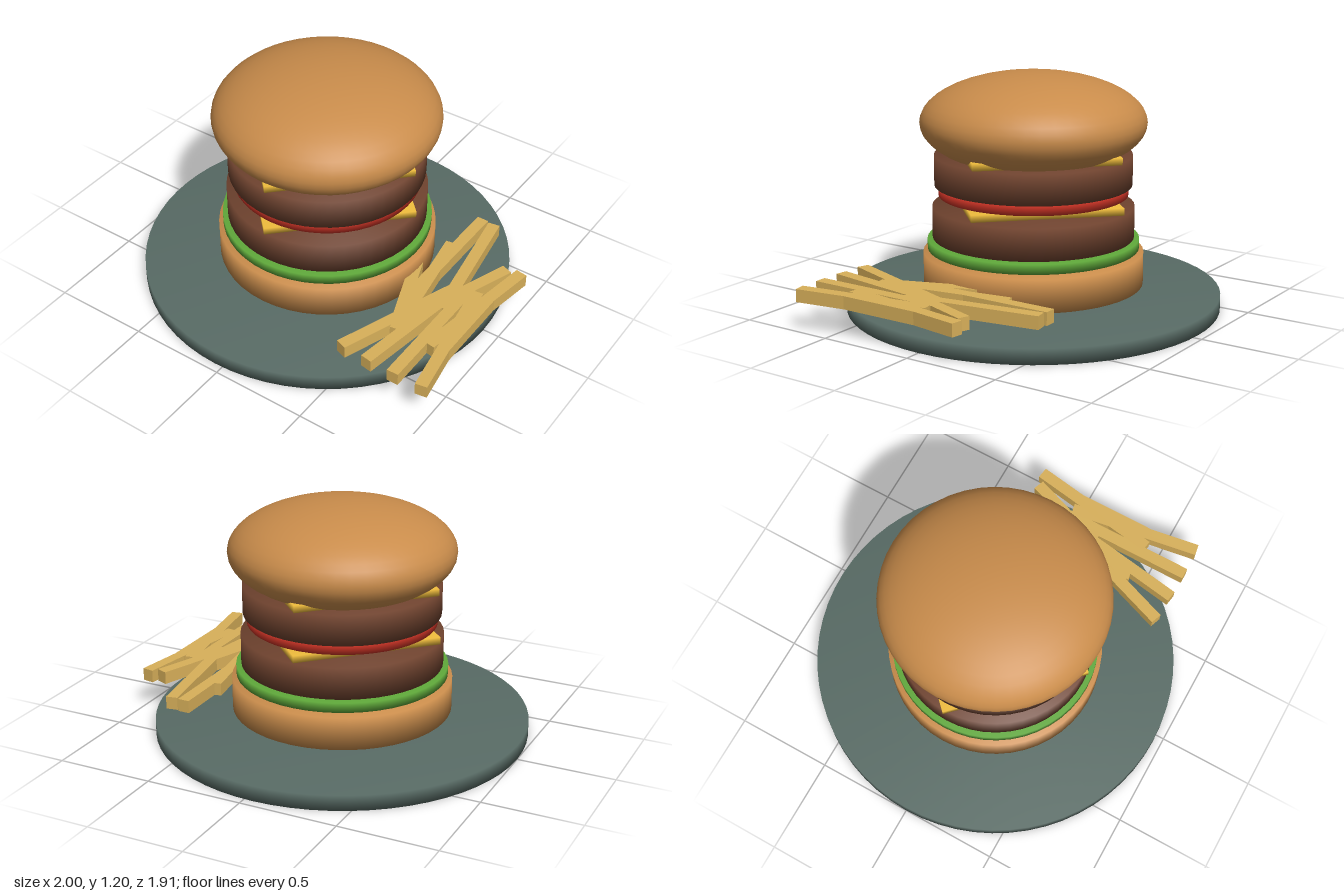
import * as THREE from 'three';
import { mergeVertices } from 'three/addons/utils/BufferGeometryUtils.js';

const CX = -0.043; // plate and burger axis

const material = (color) => new THREE.MeshStandardMaterial({ color });

// Disc with normals blended over its rim
function softDisc(radius, height, sides) {
  const g = new THREE.CylinderGeometry(radius, radius, height, sides);
  g.deleteAttribute('uv');
  g.deleteAttribute('normal');
  const merged = mergeVertices(g, 1e-4);
  merged.computeVertexNormals();
  return merged;
}

export function createModel() {
  const model = new THREE.Group();
  model.name = 'burgerAndFries';

  // Stacked layers: name, radius, bottom, top, colour, sides (cheese is a four-sided slice)
  const layers = [
    ['plate', 0.957, 0, 0.078, 0x586b65, 64],
    ['bottomBun', 0.562, 0.117, 0.285, 0xc98c4b, 48],
    ['lettuce', 0.54, 0.303, 0.353, 0x5fa83a, 48],
    ['lowerPatty', 0.514, 0.36, 0.522, 0x6e422e, 48],
    ['lowerCheese', 0.536, 0.535, 0.572, 0xeebb3c, 4],
    ['tomato', 0.482, 0.578, 0.63, 0xcf3426, 48],
    ['upperPatty', 0.502, 0.63, 0.785, 0x6e422e, 48],
    ['upperCheese', 0.523, 0.785, 0.822, 0xeebb3c, 4],
  ];
  for (const [name, radius, bottom, top, color, sides] of layers) {
    const mesh = new THREE.Mesh(softDisc(radius, top - bottom, sides), material(color));
    mesh.name = name;
    mesh.position.set(CX, (bottom + top) / 2, 0);
    model.add(mesh);
  }

  // Top bun: flattened ball
  const bun = new THREE.Mesh(new THREE.SphereGeometry(1, 48, 24), material(0xc98c4b));
  bun.name = 'topBun';
  bun.scale.set(0.573, 0.25, 0.573);
  bun.position.set(CX, 0.95, 0);
  model.add(bun);

  // Fries: centre x, centre z, tilt in degrees (back end to the right), length
  const fries = new THREE.Group();
  fries.name = 'fries';
  const fryMaterial = material(0xd8b05a);
  const layout = [
    [0.59, -0.167, 0, 0.71], [0.716, -0.167, -9, 0.71],
    [0.532, 0.085, -20, 0.71], [0.61, 0.085, -9, 0.71],
    [0.77, 0.085, 20, 0.71], [0.91, 0.085, 9, 0.71], [0.925, 0.205, 0, 0.45],
    [0.63, 0.34, 20, 0.71], [0.716, 0.335, 9, 0.71],
    [0.812, 0.335, 0, 0.71], [0.912, 0.335, -9, 0.71],
  ];
  for (const [x, z, tilt, length] of layout) {
    const fry = new THREE.Mesh(new THREE.BoxGeometry(0.062, 0.066, length), fryMaterial);
    fry.name = 'fry';
    fry.position.set(x, 0.182, z);
    fry.rotation.y = -THREE.MathUtils.degToRad(tilt);
    fries.add(fry);
  }
  model.add(fries);

  return model;
}
